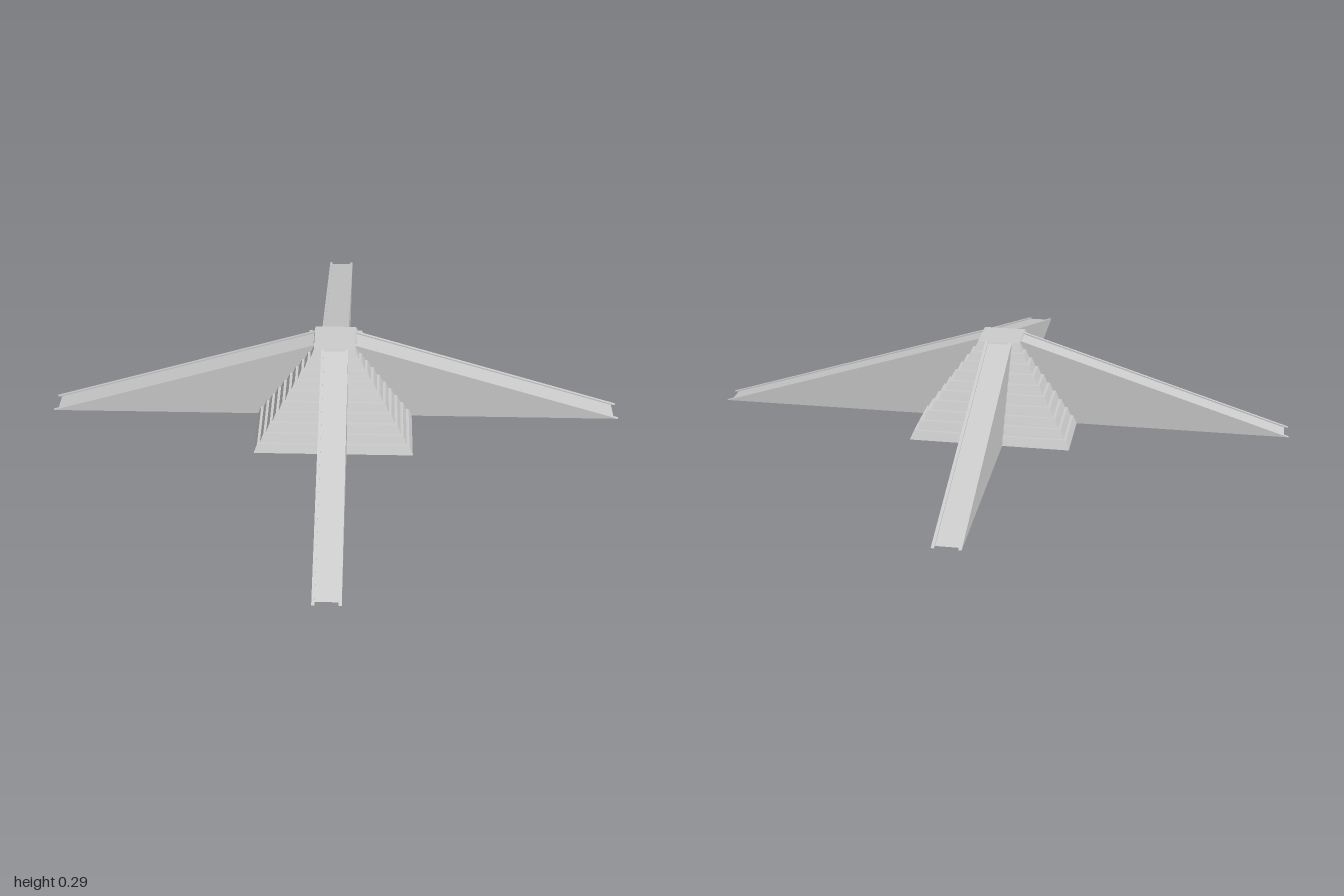
import * as THREE from 'three';

const HEIGHT = 0.295;   // plateau height
const BASE = 0.272;     // half width of the lowest tier
const TIERS = 10;
const RISER = 0.012;    // inward lean of each tier wall
const TREAD = 0.009;    // depth of each ledge
const TOP = BASE - TIERS * RISER - (TIERS - 1) * TREAD;

const material = new THREE.MeshStandardMaterial({
  color: 0xcccccc, flatShading: true, side: THREE.DoubleSide,
});

function addMesh(parent, name, geometry) {
  const mesh = new THREE.Mesh(geometry, material);
  mesh.name = name;
  parent.add(mesh);
  return mesh;
}

// Hollow stepped shell, open underneath: a four-sided lathe of the step profile
function steppedPyramid() {
  const points = [];
  let half = BASE;
  for (let i = 0; i < TIERS; i++) {
    points.push(new THREE.Vector2(half * Math.SQRT2, (i * HEIGHT) / TIERS));
    half -= RISER;
    points.push(new THREE.Vector2(half * Math.SQRT2, ((i + 1) * HEIGHT) / TIERS));
    half -= TREAD;
  }
  points.push(new THREE.Vector2(0, HEIGHT));
  const geometry = new THREE.LatheGeometry(points, 4, Math.PI / 4).toNonIndexed();
  geometry.computeVertexNormals();
  return geometry;
}

// Side profile of a ramp, extruded to a width centred on the given z
function rampSlab(toe, top, width, z) {
  const inner = 0.046;
  const shape = new THREE.Shape([
    new THREE.Vector2(inner, 0),
    new THREE.Vector2(toe, 0),
    new THREE.Vector2(TOP, top),
    new THREE.Vector2(inner, top),
  ]);
  const geometry = new THREE.ExtrudeGeometry(shape, { depth: width, bevelEnabled: false });
  return geometry.translate(0, 0, z - width / 2);
}

export function createModel() {
  const model = new THREE.Group();
  model.name = 'steppedPyramid';

  addMesh(model, 'tiers', steppedPyramid());

  // Four long ramps, each a sunken deck between two thin side walls
  const deck = rampSlab(0.985, HEIGHT - 0.005, 0.072, 0);
  const walls = [-1, 1].map((s) => rampSlab(1, HEIGHT, 0.01, s * 0.041));
  ['left', 'back', 'right', 'front'].forEach((side, i) => {
    const ramp = new THREE.Group();
    ramp.name = `${side}Ramp`;
    addMesh(ramp, 'rampDeck', deck);
    walls.forEach((wall) => addMesh(ramp, 'rampWall', wall));
    ramp.rotation.y = (i * Math.PI) / 2;
    model.add(ramp);
  });

  return model;
}
